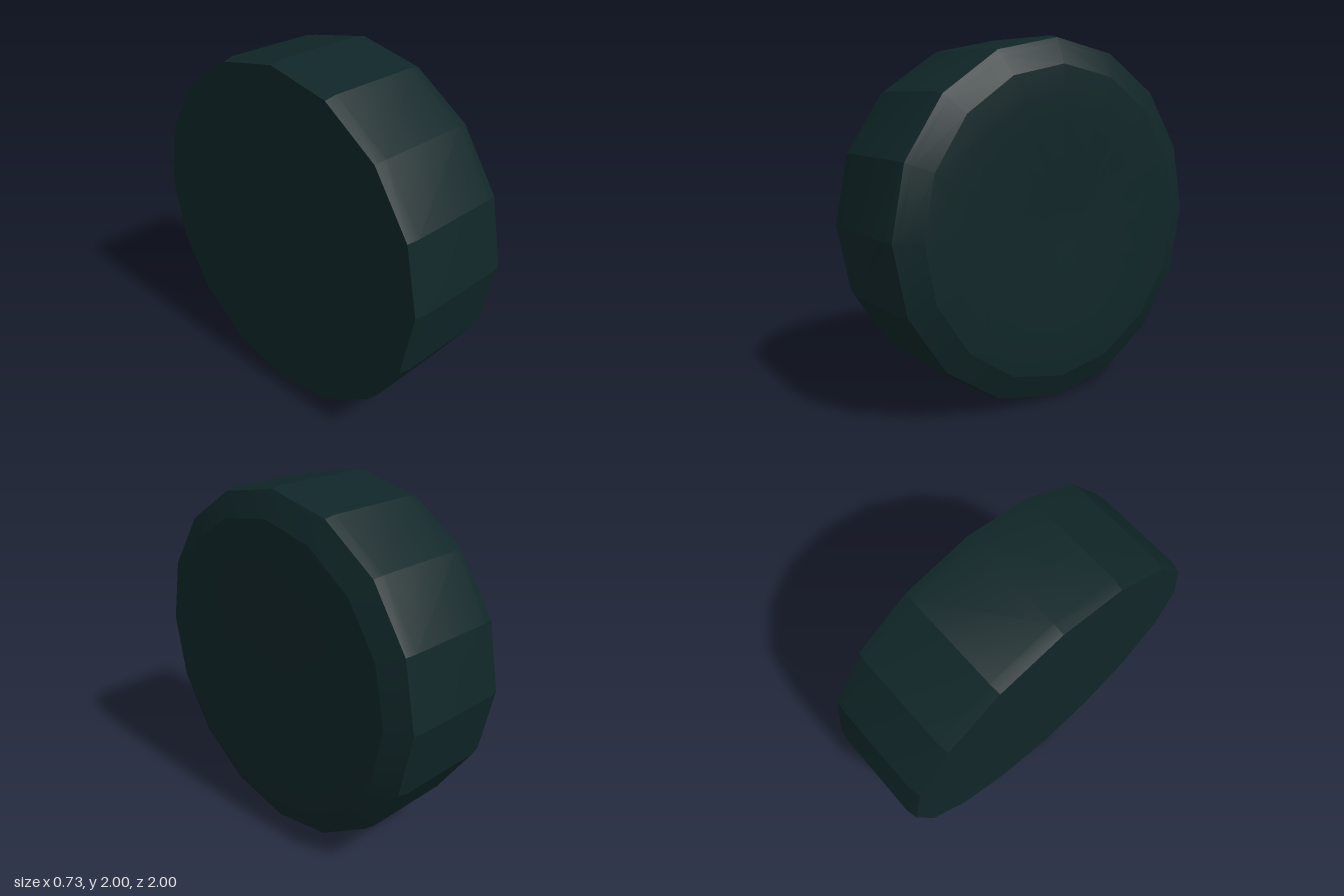
import * as THREE from 'three';
import { toCreasedNormals } from 'three/addons/utils/BufferGeometryUtils.js';

const SIDES = 16;

// Revolve [radius, x] points around the x axis, creasing the facets
function revolve(name, points, material) {
  const profile = points.map(([r, x]) => new THREE.Vector2(r, x));
  const geometry = new THREE.LatheGeometry(profile, SIDES);
  geometry.rotateZ(-Math.PI / 2);
  const mesh = new THREE.Mesh(toCreasedNormals(geometry, 0.25), material);
  mesh.name = name;
  return mesh;
}

export function createModel() {
  const rubber = new THREE.MeshStandardMaterial({ color: 0x102628 });
  rubber.name = 'dark rubber';

  const wheel = new THREE.Group();
  wheel.name = 'wheel';

  // Flat inner face
  wheel.add(revolve('innerFace', [[0, -0.365], [0.985, -0.365]], rubber));

  // Tread with slightly rounded shoulders, then the outer bevel
  wheel.add(revolve('tread', [
    [0.985, -0.365], [1, -0.3], [1, 0.23], [0.988, 0.29], [0.95, 0.308], [0.85, 0.352],
  ], rubber));

  // Outer face: raised ring, shallow dish and a small hollow at the hub
  wheel.add(revolve('outerFace', [
    [0.85, 0.352], [0.71, 0.362], [0.56, 0.354], [0.28, 0.352], [0.14, 0.342], [0, 0.342],
  ], rubber));

  wheel.position.y = 1;
  const model = new THREE.Group();
  model.name = 'wheelModel';
  model.add(wheel);
  return model;
}
